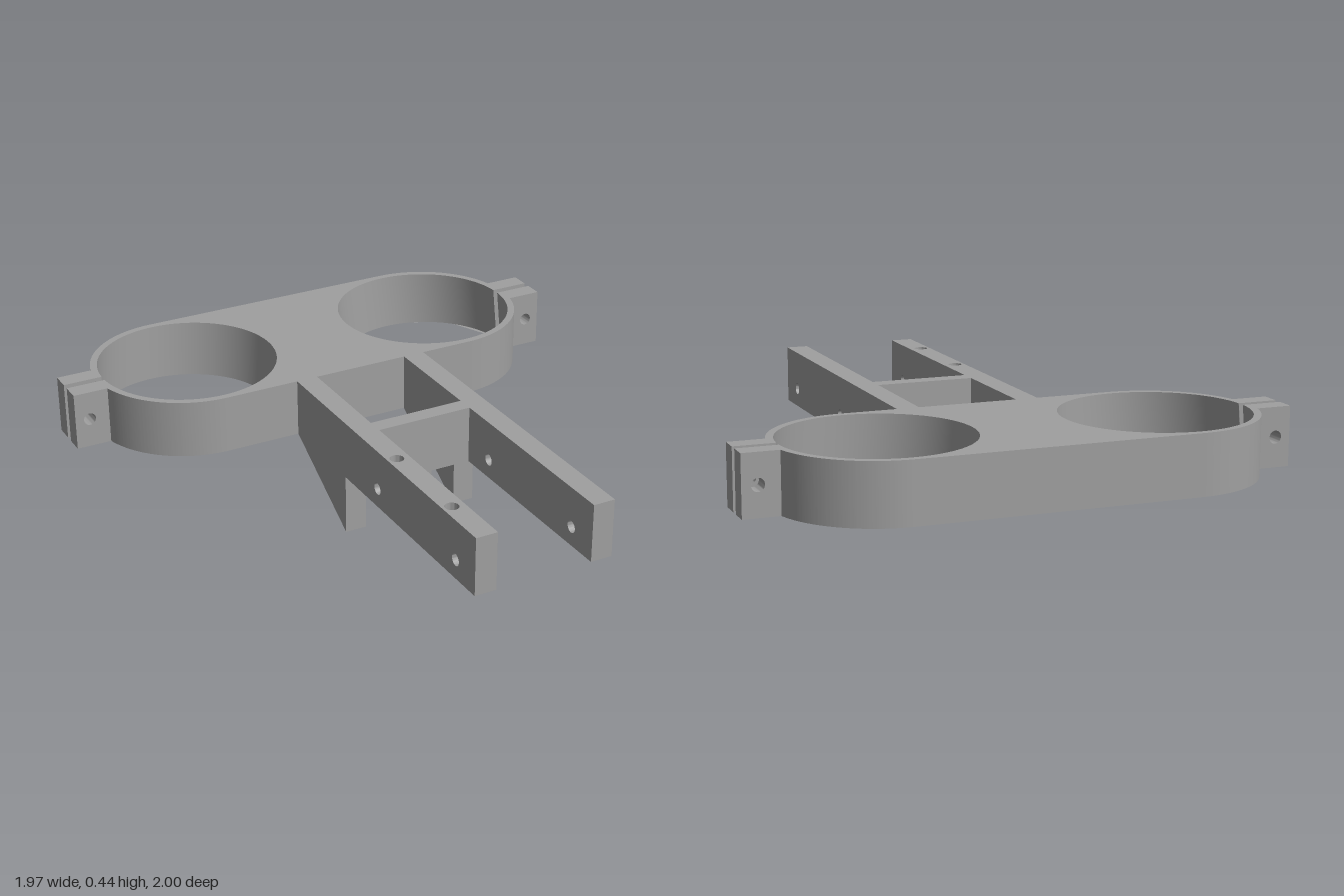
import * as THREE from 'three';
import { toCreasedNormals } from 'three/addons/utils/BufferGeometryUtils.js';

const Y0 = 0.225, Y1 = 0.44;           // underside and top of the plate
const CX = 0.503, CZ = -0.64;          // ring centres
const R = 0.36, r = 0.334, GAP = 0.015; // outer radius, bore radius, half slit

const grey = new THREE.MeshStandardMaterial({ color: 0xa0a0a0 });
grey.name = 'grey plastic';

function polygon(points) {
  return new THREE.Shape(points.map(([x, y]) => new THREE.Vector2(x, y)));
}

function addHole(shape, x, y, radius) {
  shape.holes.push(new THREE.Path().absarc(x, y, radius, 0, Math.PI * 2, true));
}

function extrude(shape, depth, curveSegments = 16) {
  return new THREE.ExtrudeGeometry(shape, { depth, bevelEnabled: false, curveSegments });
}

export function createModel() {
  const group = new THREE.Group();
  const add = (name, geometry) => {
    const mesh = new THREE.Mesh(toCreasedNormals(geometry, 0.5), grey);
    mesh.name = name;
    group.add(mesh);
  };
  const addBox = (name, x0, x1, y0, y1, z0, z1) => {
    const box = new THREE.BoxGeometry(x1 - x0, y1 - y0, z1 - z0);
    add(name, box.translate((x0 + x1) / 2, (y0 + y1) / 2, (z0 + z1) / 2));
  };

  // Twin ring plate: one outline running through both slits and round both bores
  const PI = Math.PI, ao = Math.asin(GAP / R), ai = Math.asin(GAP / r);
  const plate = new THREE.Shape();
  plate.absarc(CX, -CZ, R, ao, PI / 2, false);
  plate.absarc(-CX, -CZ, R, PI / 2, PI - ao, false);
  plate.absarc(-CX, -CZ, r, PI - ai, -PI + ai, true);
  plate.absarc(-CX, -CZ, R, PI + ao, PI * 1.5, false);
  plate.absarc(CX, -CZ, R, -PI / 2, -ao, false);
  plate.absarc(CX, -CZ, r, -ai, -2 * PI + ai, true);
  const plateGeo = extrude(plate, Y1 - Y0, 64).rotateX(-PI / 2).translate(0, Y0, 0);

  // Lean the bores slightly outward towards the underside
  const pos = plateGeo.attributes.position;
  for (let i = 0; i < pos.count; i++) {
    const x = pos.getX(i), z = pos.getZ(i), side = Math.sign(x);
    const inBore = Math.hypot(x - side * CX, z - CZ) < r + 0.005;
    if (inBore && pos.getY(i) < Y0 + 0.01) {
      pos.setX(i, x + side * 0.018);
      pos.setZ(i, z + 0.005);
    }
  }
  add('ringPlate', plateGeo);

  // Clamp ears with bolt holes, a pair on each side of each slit
  for (const side of [-1, 1]) {
    for (const z of [-0.725, -0.625]) {
      const a = side * 0.85, b = side * 0.983;
      const x0 = Math.min(a, b), x1 = Math.max(a, b);
      const ear = polygon([[x0, Y0], [x1, Y0], [x1, Y1], [x0, Y1]]);
      addHole(ear, side * 0.928, 0.333, 0.023);
      add(side < 0 ? 'rightClampEar' : 'leftClampEar', extrude(ear, 0.07).translate(0, 0, z));
    }
  }

  // Arms with gussets: side profile in (z, y), pushed across x
  const addArm = (name, x0, x1, top) => {
    const arm = polygon([[-0.28, Y0], [0.1, 0], [0.1, Y0], [1, Y0], [1, top], [-0.28, top]]);
    for (const z of [0.34, 0.875]) addHole(arm, z, 0.295, 0.022);
    add(name, extrude(arm, x1 - x0).rotateY(-PI / 2).translate(x1, 0, 0));
  };
  const SLAB = 0.34;
  addArm('leftArm', 0.222, 0.303, Y1);
  addArm('rightArm', -0.223, -0.142, SLAB);

  // Top of the right arm, with two blind holes
  const slab = polygon([[-0.223, -1], [-0.142, -1], [-0.142, 0.28], [-0.223, 0.28]]);
  for (const z of [0.415, 0.787]) addHole(slab, -0.188, -z, 0.025);
  add('rightArmTop', extrude(slab, Y1 - SLAB).rotateX(-PI / 2).translate(0, SLAB, 0));

  // Crossbar between the arms and the tab below it
  addBox('crossbar', -0.142, 0.222, Y0, Y1, 0.14, 0.202);
  addBox('tab', -0.025, 0.07, 0, Y0, 0.172, 0.202);

  return group;
}
